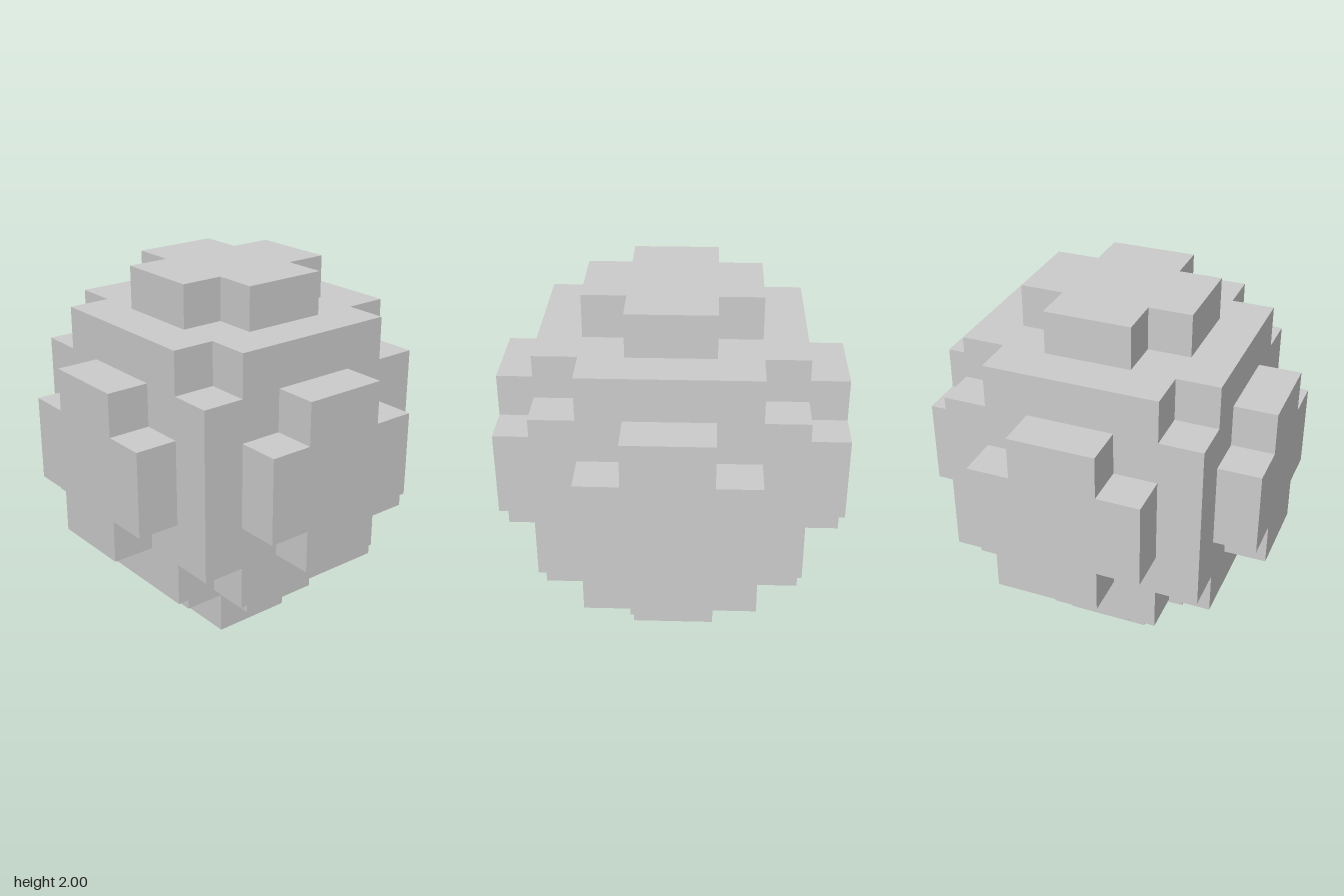
import * as THREE from 'three';

const U = 2 / 9; // one block

const material = new THREE.MeshStandardMaterial({ color: 0xcccccc, flatShading: true });

// One-block-thick square slab, one block notched from each corner, rising along +z
function notchedSlab(half) {
  const a = half * U, b = (half - 1) * U;
  const shape = new THREE.Shape([
    [b, -a], [b, -b], [a, -b], [a, b], [b, b], [b, a],
    [-b, a], [-b, b], [-a, b], [-a, -b], [-b, -b], [-b, -a],
  ].map(([x, y]) => new THREE.Vector2(x, y)));
  return new THREE.ExtrudeGeometry(shape, { depth: U, bevelEnabled: false });
}

function addPart(parent, name, geometry) {
  const mesh = new THREE.Mesh(geometry, material);
  mesh.name = name;
  parent.add(mesh);
  return mesh;
}

export function createModel() {
  const model = new THREE.Group();
  model.name = 'blockOrb';

  // Everything but the peg is symmetric about the core's centre
  const core = new THREE.Group();
  core.name = 'core';
  core.position.y = 5 * U;
  model.add(core);

  // Cube body: full middle band, notched layers above and below
  addPart(core, 'bodyMiddle', new THREE.BoxGeometry(6 * U, 4 * U, 6 * U));
  for (const [name, s] of [['bodyTop', 1], ['bodyBottom', -1]]) {
    const layer = addPart(core, name, notchedSlab(3));
    layer.rotation.x = -s * Math.PI / 2;
    layer.position.y = s * 2 * U;
  }

  // Cross-shaped pads on all six faces
  const pad = notchedSlab(2);
  const faces = {
    frontPad: [0, 0, 1], backPad: [0, 0, -1],
    leftPad: [1, 0, 0], rightPad: [-1, 0, 0],
    topPad: [0, 1, 0], bottomPad: [0, -1, 0],
  };
  for (const [name, [x, y, z]] of Object.entries(faces)) {
    const mesh = addPart(core, name, pad);
    mesh.rotation.set(-y * Math.PI / 2, z < 0 ? Math.PI : x * Math.PI / 2, 0);
    mesh.position.set(x, y, z).multiplyScalar(3 * U);
  }

  // Square peg it stands on
  addPart(model, 'peg', new THREE.BoxGeometry(2 * U, U, 2 * U)).position.y = U / 2;

  return model;
}
